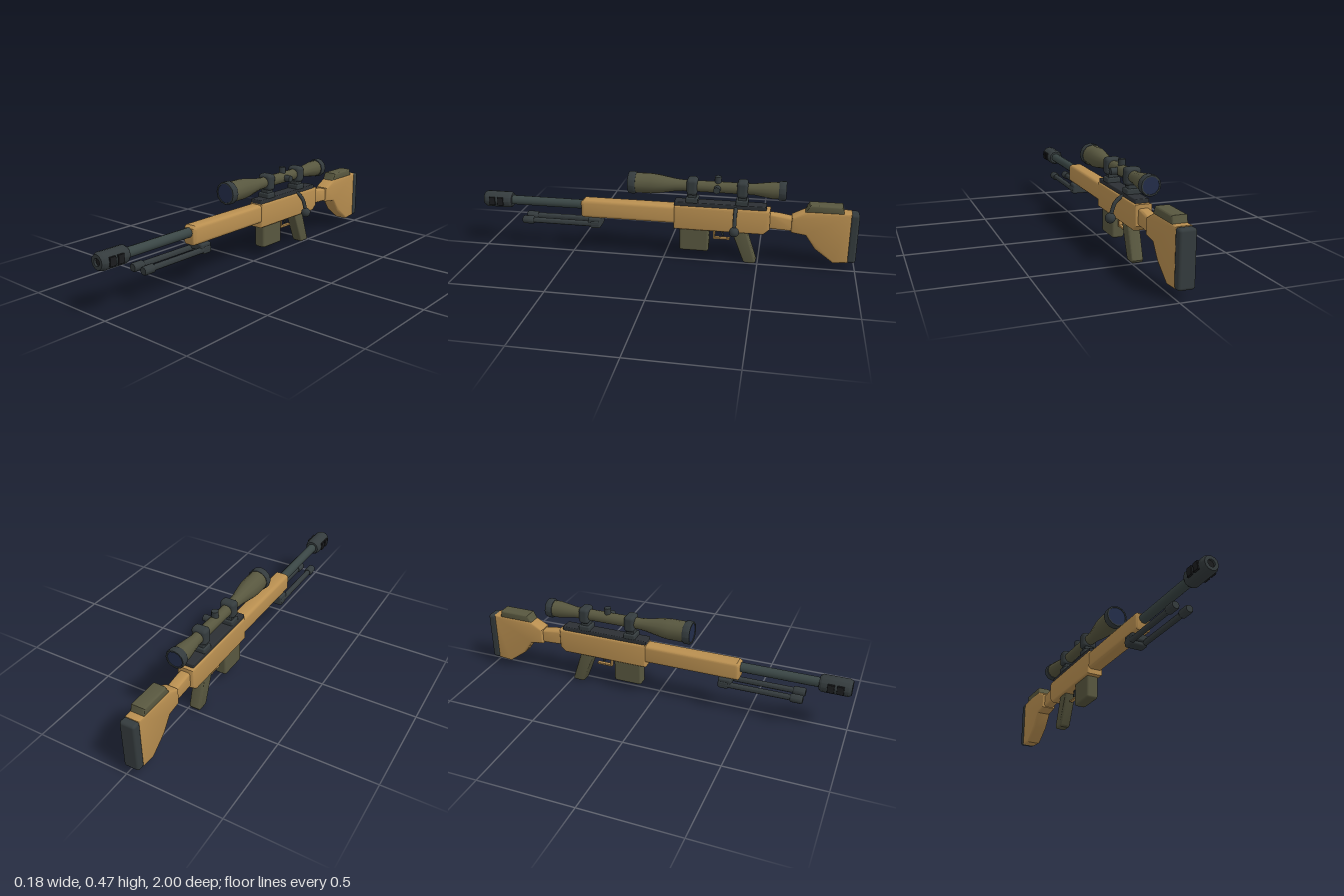
import * as THREE from 'three';
import { toCreasedNormals } from 'three/addons/utils/BufferGeometryUtils.js';
import { RoundedBoxGeometry } from 'three/addons/geometries/RoundedBoxGeometry.js';

const CX = -0.031; // centre line of the gun
const BORE_Y = 0.263, SCOPE_Y = 0.405;

function material(name, color) {
  const m = new THREE.MeshStandardMaterial({ color });
  m.name = name;
  return m;
}

export function createModel() {
  const model = new THREE.Group();
  model.name = 'rifle';
  const tan = material('tan', 0xb98f50);
  const olive = material('olive', 0x58573f);
  const gunmetal = material('gunmetal', 0x343b3d);
  const steel = material('barrel steel', 0x3a4645);
  const railGrey = material('rail grey', 0x2c3034);
  const glass = material('lens blue', 0x232d4a);
  const black = material('black', 0x1b1c1e);

  function add(name, geometry, mat, x = 0, y = 0, z = 0) {
    const mesh = new THREE.Mesh(geometry, mat);
    mesh.name = name;
    mesh.position.set(CX + x, y, z);
    model.add(mesh);
    return mesh;
  }

  // Box given by its y and z ranges, centred on x
  function box(name, mat, w, y0, y1, z0, z1, r = 0.006, x = 0) {
    return add(name, new RoundedBoxGeometry(w, y1 - y0, z1 - z0, 2, r), mat, x, (y0 + y1) / 2, (z0 + z1) / 2);
  }

  // Side outline of [z, y] points, extruded across x with rounded edges
  function plate(name, mat, w, points, b = 0.012) {
    const shape = new THREE.Shape(points.map(([z, y]) => new THREE.Vector2(z, y)));
    const g = new THREE.ExtrudeGeometry(shape, {
      depth: w - 2 * b, bevelThickness: b, bevelSize: b, bevelOffset: -b, bevelSegments: 3,
    });
    g.translate(0, 0, b - w / 2);
    g.rotateY(-Math.PI / 2);
    return add(name, toCreasedNormals(g, 0.6), mat);
  }

  // Turned part along z from [radius, z] points, back to front
  function turned(name, mat, points, x, y, sides = 12) {
    const g = new THREE.LatheGeometry(points.map(([r, z]) => new THREE.Vector2(r, z)), sides);
    g.rotateX(Math.PI / 2);
    return add(name, toCreasedNormals(g, 0.6), mat, x, y);
  }

  // Stock, receiver and fore-end
  plate('foreEnd', tan, 0.08, [[-0.07, 0.2], [0.445, 0.2], [0.45, 0.21], [0.45, 0.285], [0.435, 0.298], [-0.07, 0.298]], 0.018);
  plate('receiver', tan, 0.088, [[-0.525, 0.172], [-0.055, 0.172], [-0.055, 0.303], [-0.555, 0.303], [-0.555, 0.2]], 0.012);
  plate('wrist', tan, 0.056, [[-0.69, 0.195], [-0.54, 0.203], [-0.54, 0.285], [-0.6, 0.28], [-0.69, 0.265]], 0.012);
  plate('buttStock', tan, 0.08, [
    [-0.665, 0.193], [-0.665, 0.275], [-0.74, 0.314], [-0.962, 0.314], [-0.962, 0.046],
    [-0.885, 0.04], [-0.79, 0.11], [-0.74, 0.182],
  ], 0.011);
  box('buttPad', gunmetal, 0.082, 0.048, 0.312, -1, -0.955, 0.014);
  plate('cheekRest', olive, 0.074, [[-0.925, 0.308], [-0.73, 0.308], [-0.75, 0.348], [-0.915, 0.348]], 0.009);

  // Magazine, grip and trigger
  box('magazine', olive, 0.064, 0.05, 0.185, -0.24, -0.085, 0.012);
  plate('grip', olive, 0.062, [[-0.355, 0.185], [-0.425, 0.008], [-0.436, 0], [-0.485, 0], [-0.492, 0.012], [-0.435, 0.185]], 0.01);
  box('guardFront', tan, 0.02, 0.12, 0.178, -0.272, -0.262, 0.002);
  box('guardBottom', tan, 0.02, 0.117, 0.127, -0.35, -0.262, 0.002);
  const trigger = box('trigger', gunmetal, 0.012, 0.135, 0.178, -0.312, -0.302, 0.002);
  trigger.rotation.x = 0.35;

  // Barrel and muzzle brake
  turned('barrel', steel, [[0, 0.42], [0.025, 0.42], [0.025, 0.86], [0, 0.86]], 0, BORE_Y);
  turned('muzzleBrake', gunmetal, [
    [0, 0.843], [0.036, 0.843], [0.044, 0.855], [0.044, 0.985], [0.036, 1], [0.019, 1], [0.019, 0.985],
  ], 0, BORE_Y);
  add('muzzleBore', new THREE.CircleGeometry(0.02, 12), black, 0, BORE_Y, 0.99);
  for (const side of [-1, 1]) {
    for (const z of [0.902, 0.948]) {
      box('brakePort', black, 0.012, 0.241, 0.285, z - 0.017, z + 0.017, 0.002, side * 0.042);
    }
  }

  // Folded bipod
  box('bipodMount', gunmetal, 0.094, 0.165, 0.202, 0.342, 0.412, 0.01);
  box('bipodHinge', gunmetal, 0.1, 0.145, 0.188, 0.342, 0.4, 0.012);
  for (const side of [-1, 1]) {
    turned('bipodLeg', gunmetal, [[0, 0.35], [0.015, 0.35], [0.015, 0.73], [0, 0.73]], side * 0.036, 0.167);
    turned('bipodFoot', gunmetal, [
      [0, 0.715], [0.018, 0.715], [0.022, 0.721], [0.022, 0.77], [0.018, 0.777], [0, 0.777],
    ], side * 0.036, 0.167);
  }

  // Bolt handle
  const bolt = new THREE.CatmullRomCurve3([
    [0, 0.302], [0.032, 0.304], [0.072, 0.274], [0.086, 0.24], [0.096, 0.2],
  ].map(([x, y]) => new THREE.Vector3(x, y, -0.378)));
  add('boltArm', new THREE.TubeGeometry(bolt, 16, 0.01, 8), gunmetal);
  add('boltKnob', new THREE.SphereGeometry(0.026, 16, 12), gunmetal, 0.096, 0.2, -0.378);

  // Rail and scope mounts
  box('rail', railGrey, 0.07, 0.298, 0.323, -0.535, -0.055, 0.005);
  for (const z of [-0.148, -0.408]) {
    box('mountFoot', gunmetal, 0.072, 0.318, 0.348, z - 0.032, z + 0.032, 0.007);
    box('mountPost', gunmetal, 0.052, 0.335, 0.375, z - 0.022, z + 0.022, 0.005);
    box('mountRing', gunmetal, 0.082, 0.361, 0.449, z - 0.028, z + 0.028, 0.018);
  }

  // Scope
  turned('scopeTube', olive, [
    [0, -0.615], [0.044, -0.615], [0.044, -0.56], [0.03, -0.465], [0.03, -0.1],
    [0.034, -0.06], [0.05, 0.03], [0.054, 0.07], [0.054, 0.16], [0, 0.16],
  ], 0, SCOPE_Y);
  turned('objectiveHood', gunmetal, [
    [0.05, 0.148], [0.056, 0.148], [0.06, 0.154], [0.06, 0.182], [0.057, 0.188], [0.05, 0.188], [0.05, 0.18],
  ], 0, SCOPE_Y);
  turned('eyepieceRing', gunmetal, [
    [0.041, -0.622], [0.041, -0.63], [0.048, -0.63], [0.051, -0.625], [0.051, -0.597], [0.048, -0.592], [0.04, -0.592],
  ], 0, SCOPE_Y);
  add('frontLens', new THREE.CircleGeometry(0.051, 12), glass, 0, SCOPE_Y, 0.184);
  add('rearLens', new THREE.CircleGeometry(0.042, 12), glass, 0, SCOPE_Y, -0.626).rotation.y = Math.PI;

  // Adjustment turrets on the top and left of the scope
  const turret = new THREE.CylinderGeometry(0.018, 0.018, 0.045, 12);
  add('topTurret', turret, gunmetal, 0, 0.441, -0.28);
  add('sideTurret', turret, gunmetal, 0.0385, SCOPE_Y, -0.28).rotation.z = -Math.PI / 2;

  return model;
}
